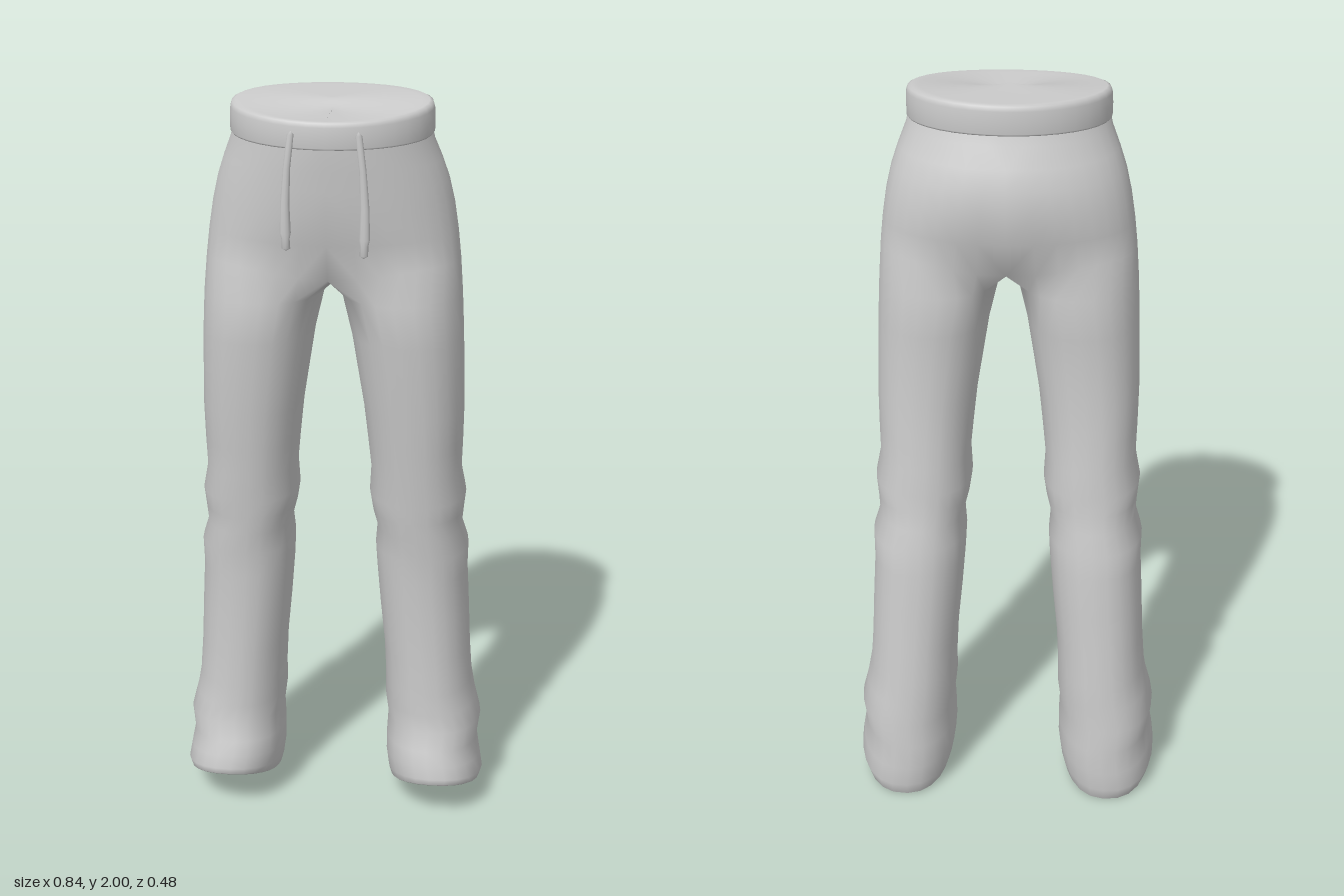
import * as THREE from 'three';
import { mergeGeometries, mergeVertices } from 'three/addons/utils/BufferGeometryUtils.js';

const material = new THREE.MeshStandardMaterial({ color: 0xcccccc, side: THREE.DoubleSide });
const N = 18; // steps around the outer half of a section
const M = 7;  // steps around the inner thigh
const spow = (v, p) => Math.sign(v) * Math.abs(v) ** p;

// Skin a list of rings, ordered from top to bottom, counter-clockwise from above
function loft(rings, closed = true) {
  const n = rings[0].length, index = [];
  for (let i = 0; i < rings.length - 1; i++) {
    for (let j = 0; j < (closed ? n : n - 1); j++) {
      const k = (j + 1) % n, a = i * n + j, b = a + n, c = (i + 1) * n + k, d = i * n + k;
      index.push(a, b, c, a, c, d);
    }
  }
  const g = new THREE.BufferGeometry();
  g.setAttribute('position', new THREE.Float32BufferAttribute(rings.flat(2), 3));
  g.setIndex(index);
  return g;
}

function smooth(g) {
  const merged = mergeVertices(g, 1e-4);
  merged.computeVertexNormals();
  return merged;
}

function mirrored(g) {
  const m = g.clone().scale(-1, 1, 1);
  m.index.array.reverse();
  return m;
}

// Half section of the hips: front centre, round the side, to back centre
function hipRing([y, outer, front, back, power, dent]) {
  const cz = (front + back) / 2, rz = (front - back) / 2;
  return Array.from({ length: N + 1 }, (_, k) => {
    const a = Math.PI * k / N, s = Math.sin(a), c = Math.cos(a), middle = Math.abs(c) ** 8;
    const x = k === 0 || k === N ? 0 : outer * spow(s, power);
    return [x, y - dent * 0.2 * middle, cz + rz * spow(c, power) * (1 - dent * middle)];
  });
}

// Full section of one leg; lift raises its front above its back
function legRing([y, inner, outer, front, back, lift]) {
  const cx = (inner + outer) / 2, rx = (outer - inner) / 2;
  const cz = (front + back) / 2, rz = (front - back) / 2, seam = 0.87;
  return Array.from({ length: N + M }, (_, k) => {
    const a = k <= N ? -seam + (k / N) * (Math.PI + 2 * seam)
      : Math.PI + seam + ((k - N) / M) * (Math.PI - 2 * seam);
    const c = spow(Math.cos(a), 0.9);
    return [cx + rx * spow(Math.sin(a), 0.9), y + lift * ((c + 1) / 2) ** 1.25, cz + rz * c];
  });
}

// Shrink a leg ring towards its middle and move it up
function inset(ring, scale, up) {
  const mid = [0, 1, 2].map(i => ring.reduce((s, p) => s + p[i], 0) / ring.length);
  return ring.map(p => p.map((v, i) => mid[i] + (v - mid[i]) * scale + (i === 1 ? up : 0)));
}

function trouserGeometry() {
  // y, half width, front z, back z, roundness power, centre dent
  const hips = [
    [1.94, 0.243, 0.229, -0.13, 1, 0],
    [1.90, 0.252, 0.229, -0.143, 1, 0],
    [1.85, 0.272, 0.225, -0.166, 0.98, 0],
    [1.80, 0.289, 0.22, -0.18, 0.95, 0],
    [1.74, 0.303, 0.214, -0.186, 0.92, 0],
    [1.67, 0.314, 0.206, -0.18, 0.88, 0.04],
    [1.60, 0.322, 0.2, -0.168, 0.85, 0.16],
  ].map(hipRing);

  // Saddle between the legs, from the back centre to the front centre
  const last = hips[hips.length - 1], f = last[0], b = last[N];
  const saddle = Array.from({ length: M - 1 }, (_, i) => {
    const t = (i + 1) / M;
    return [0, f[1] - 0.04 * Math.sin(Math.PI * t), b[2] + (f[2] - b[2]) * t];
  });

  // back y, inner x, outer x, front z, back z, front lift
  const legs = [
    [1.51, 0.022, 0.329, 0.194, -0.157, 0],
    [1.40, 0.048, 0.335, 0.185, -0.15, 0],
    [1.30, 0.064, 0.338, 0.175, -0.149, 0],
    [1.20, 0.08, 0.341, 0.164, -0.151, 0],
    [1.10, 0.091, 0.34, 0.152, -0.157, 0],
    [1.02, 0.099, 0.338, 0.142, -0.164, 0],
    [0.95, 0.095, 0.352, 0.134, -0.17, 0],
    [0.90, 0.103, 0.347, 0.128, -0.173, 0],
    [0.85, 0.116, 0.343, 0.122, -0.182, 0],
    [0.79, 0.111, 0.362, 0.115, -0.193, 0],
    [0.72, 0.115, 0.361, 0.109, -0.202, 0],
    [0.60, 0.125, 0.368, 0.105, -0.21, 0],
    [0.48, 0.137, 0.374, 0.104, -0.219, 0],
    [0.38, 0.142, 0.382, 0.106, -0.227, 0],
    [0.31, 0.142, 0.394, 0.108, -0.231, 0.01],
    [0.24, 0.15, 0.41, 0.112, -0.236, 0.03],
    [0.17, 0.147, 0.402, 0.13, -0.24, 0.05],
    [0.10, 0.147, 0.412, 0.142, -0.243, 0.08],
    [0.04, 0.154, 0.42, 0.15, -0.242, 0.105],
    [0.005, 0.162, 0.411, 0.15, -0.234, 0.125],
  ].map(legRing);

  // Rolled hem and the recessed face inside it
  const hem = legs[legs.length - 1];
  const tail = [inset(hem, 0.96, -0.004), inset(hem, 0.91, 0.006), inset(hem, 0.86, 0.035), inset(hem, 0, 0.04)];
  const half = mergeGeometries([loft(hips, false), loft([[...last, ...saddle], ...legs, ...tail])]);
  return smooth(mergeGeometries([half, mirrored(half)]));
}

// Oval band, a little lower at the front, closed by a flat top
function waistbandGeometry() {
  const ring = (scale, height, drop = 0) => Array.from({ length: 36 }, (_, k) => {
    const a = k / 36 * Math.PI * 2, t = (Math.cos(a) + 1) / 2;
    const bottom = 1.926 - 0.022 * t, top = 2 - 0.03 * t * t;
    return [0.25 * scale * Math.sin(a), bottom + (top - bottom) * height - drop, 0.047 + 0.19 * scale * Math.cos(a)];
  });
  const rings = [ring(0, 1, 0.004), ring(0.88, 1, 0.002), ring(0.95, 1), ring(0.985, 0.95),
    ring(1, 0.8), ring(1.006, 0.45), ring(1.004, 0.06), ring(0.99, 0), ring(0.94, 0.04)];
  return smooth(loft(rings));
}

// Flattened cord that hangs from the band and thickens towards its end
function drawstringGeometry(length) {
  const profile = [[0, 0], [0.03, 0.7], [0.3, 0.75], [0.6, 0.95], [0.85, 1.15], [0.9, 0.85], [0.98, 0.9], [1, 0]];
  return smooth(loft(profile.map(([t, r]) => Array.from({ length: 10 }, (_, k) => {
    const a = k / 10 * Math.PI * 2;
    return [0.08 + 0.014 * t + 0.008 * Math.sin(Math.PI * t) + 0.012 * r * Math.sin(a),
      1.948 - length * t, 0.23 - 0.002 * t + 0.01 * r * Math.cos(a)];
  }))));
}

export function createModel() {
  const group = new THREE.Group();
  group.name = 'trousers';
  const add = (name, geometry) => {
    const mesh = new THREE.Mesh(geometry, material);
    mesh.name = name;
    group.add(mesh);
  };
  add('hipsAndLegs', trouserGeometry());
  add('waistband', waistbandGeometry());
  add('leftDrawstring', drawstringGeometry(0.305));
  add('rightDrawstring', smooth(mirrored(drawstringGeometry(0.29))));
  return group;
}
